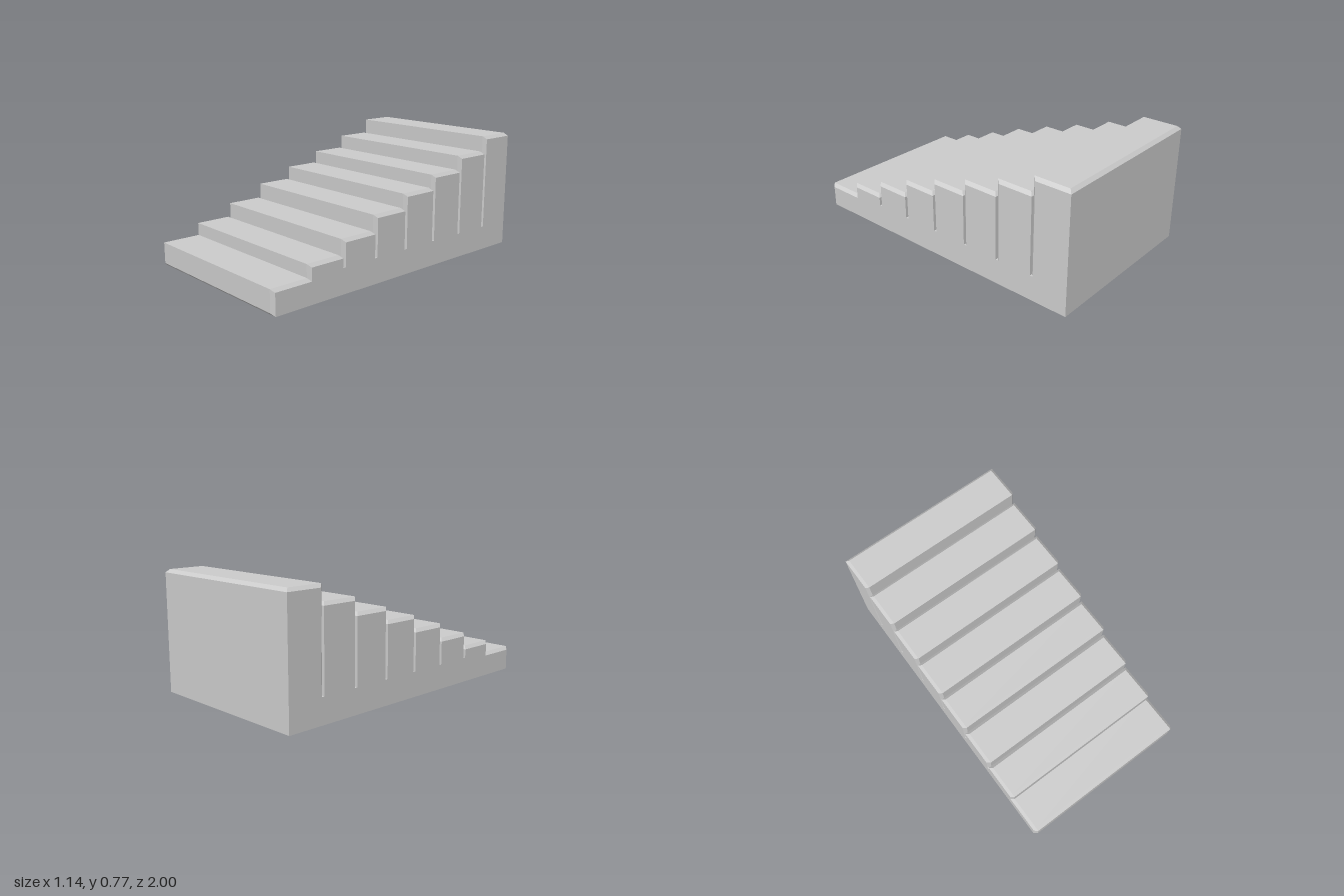
import * as THREE from 'three';

const W = 0.57;   // half width
const B = 0.02;   // chamfer size
const BASE = 0.16; // height of the solid base under the steps
const TOPS = [0.155, 0.235, 0.325, 0.42, 0.505, 0.585, 0.672, 0.77];

// Outline across the width, counter-clockwise seen from the front
const outline = (z, bottom, shoulder, top, outer, inner) => [
  [-outer, bottom, z], [outer, bottom, z], [outer, shoulder, z],
  [inner, top, z], [-inner, top, z], [-outer, shoulder, z],
];

// Joins cross-sections that run from front to back, with both ends closed
function loft(sections) {
  const pos = [];
  const area = new THREE.Triangle();
  const tri = (a, b, c) => {
    area.set(new THREE.Vector3(...a), new THREE.Vector3(...b), new THREE.Vector3(...c));
    if (area.getArea() > 1e-8) pos.push(...a, ...b, ...c);
  };
  const first = sections[0], last = sections[sections.length - 1], n = first.length;
  for (let k = 0; k < sections.length - 1; k++) {
    for (let i = 0; i < n; i++) {
      const j = (i + 1) % n, p = sections[k], q = sections[k + 1];
      tri(p[i], q[i], p[j]);
      tri(p[j], q[i], q[j]);
    }
  }
  for (let i = 1; i < n - 1; i++) {
    tri(first[0], first[i], first[i + 1]);
    tri(last[0], last[i + 1], last[i]);
  }
  const geo = new THREE.BufferGeometry();
  geo.setAttribute('position', new THREE.Float32BufferAttribute(pos, 3));
  geo.computeVertexNormals();
  return geo;
}

// Step block: chamfered front corners, tread sides and rear tread edge
function stepGeometry(top, front, back, bottom, toe, rearChamfer) {
  const shoulder = top - B;
  const sections = [
    outline(front, bottom + toe, top, top, W - B, W - B),
    outline(front - B, bottom, shoulder, top, W, W - B),
  ];
  if (rearChamfer) {
    sections.push(outline(back + B, bottom, shoulder, top, W, W - B));
    sections.push(outline(back, bottom, shoulder, shoulder, W, W));
  } else {
    sections.push(outline(back, bottom, shoulder, top, W, W - B));
  }
  return loft(sections);
}

export function createModel() {
  const model = new THREE.Group();
  model.name = 'staircase';
  const material = new THREE.MeshStandardMaterial({ color: 0xcccccc, flatShading: true });
  const add = (name, geometry) => {
    const mesh = new THREE.Mesh(geometry, material);
    mesh.name = name;
    model.add(mesh);
    return mesh;
  };

  // Steps; the lowest one reaches the ground and runs under the second
  TOPS.forEach((top, i) => {
    const front = 1 - i * 0.25;
    const lowest = i === 0;
    const back = lowest ? front - 0.25 - B : front - 0.25;
    const bottom = lowest ? 0 : i === 1 ? 0.13 : BASE;
    add(`step${i + 1}`, stepGeometry(top, front, back, bottom, lowest ? B : 0, !lowest));
  });

  // Solid base behind the lowest step
  const depth = 1.75 - B;
  add('base', new THREE.BoxGeometry(W * 2, BASE, depth)).position.set(0, BASE / 2, -1 + depth / 2);

  return model;
}
